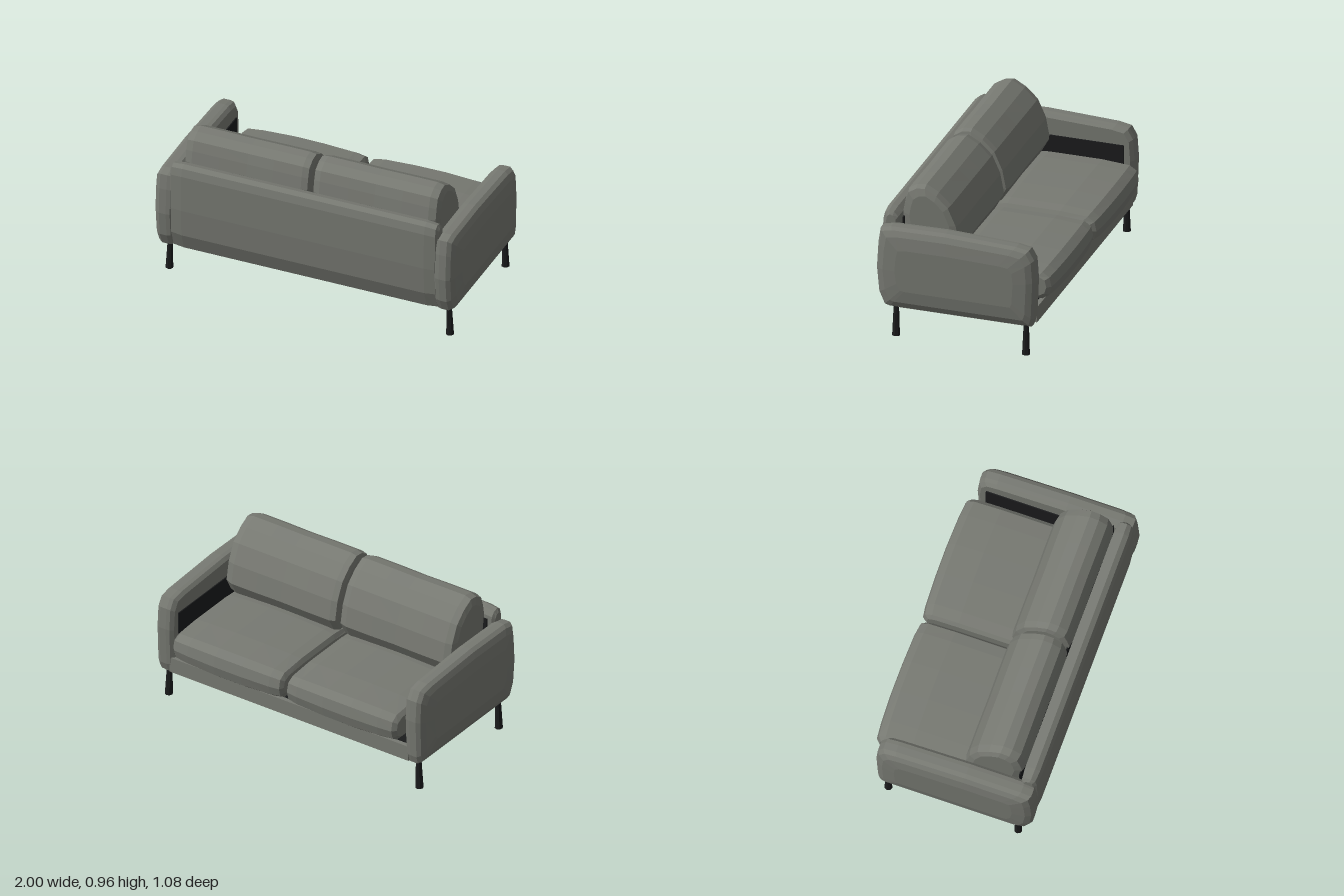
import * as THREE from 'three';

const fabric = new THREE.MeshStandardMaterial({ color: 0x777972, flatShading: true });
fabric.name = 'greyFabric';
const dark = new THREE.MeshStandardMaterial({ color: 0x1b1c1d, flatShading: true });
dark.name = 'blackTrim';

// Padded form: a closed [z, y] outline swept along x through [x, inset] stations.
// Outlines run front to back over the top, down the back and forward underneath.
function padded(outline, stations) {
  const zs = outline.map(p => p[0]), ys = outline.map(p => p[1]);
  const cz = (Math.min(...zs) + Math.max(...zs)) / 2, hz = Math.max(...zs) - cz;
  const cy = (Math.min(...ys) + Math.max(...ys)) / 2, hy = Math.max(...ys) - cy;
  const rings = stations.map(([x, inset]) => outline.map(([z, y]) =>
    [x, cy + (y - cy) * (1 - inset / hy), cz + (z - cz) * (1 - inset / hz)]));
  const n = outline.length, last = rings.length - 1, pos = [];
  const tri = (...pts) => pts.forEach(p => pos.push(...p));
  for (let j = 0; j < n; j++) {
    const k = (j + 1) % n;
    for (let i = 0; i < last; i++) {
      tri(rings[i][j], rings[i][k], rings[i + 1][k]);
      tri(rings[i][j], rings[i + 1][k], rings[i + 1][j]);
    }
    tri([stations[0][0], cy, cz], rings[0][k], rings[0][j]);
    tri([stations[last][0], cy, cz], rings[last][j], rings[last][k]);
  }
  const g = new THREE.BufferGeometry();
  g.setAttribute('position', new THREE.Float32BufferAttribute(pos, 3));
  g.computeVertexNormals();
  return g;
}

// Mirrors stations to the other side while keeping x ascending
const onSide = (stations, s) => s > 0 ? stations : stations.map(([x, i]) => [-x, i]).reverse();

const ARM = [[-0.475, 0.5], [-0.465, 0.64], [-0.43, 0.7], [-0.35, 0.715], [0.1, 0.735], [0.45, 0.73],
  [0.515, 0.715], [0.53, 0.62], [0.54, 0.45], [0.525, 0.29], [0.49, 0.21], [0.46, 0.2], [-0.45, 0.2], [-0.465, 0.25]];
const BACK = [[0.41, 0.6], [0.425, 0.77], [0.455, 0.8], [0.49, 0.807], [0.52, 0.79], [0.533, 0.74],
  [0.538, 0.5], [0.53, 0.32], [0.49, 0.21], [0.46, 0.2], [0.4, 0.2]];
const SEAT = [[-0.54, 0.41], [-0.527, 0.48], [-0.48, 0.515], [-0.3, 0.53], [0.05, 0.53], [0.36, 0.5],
  [0.4, 0.46], [0.4, 0.36], [0.35, 0.31], [-0.48, 0.31], [-0.525, 0.345]];
const PILLOW = [[0.04, 0.6], [0.065, 0.73], [0.12, 0.85], [0.2, 0.925], [0.28, 0.968], [0.34, 0.96],
  [0.395, 0.925], [0.415, 0.86], [0.43, 0.78], [0.4, 0.6], [0.33, 0.51], [0.09, 0.51]];

export function createModel() {
  const sofa = new THREE.Group();
  sofa.name = 'sofa';
  const add = (name, geometry, material, x = 0, y = 0, z = 0) => {
    const m = new THREE.Mesh(geometry, material);
    m.name = name;
    m.position.set(x, y, z);
    sofa.add(m);
    return m;
  };
  const box = (w, h, d) => new THREE.BoxGeometry(w, h, d);

  // Base, dark seat deck and underside panel
  add('base', box(1.76, 0.1, 0.9), fabric, 0, 0.25, -0.01);
  add('seatDeck', box(1.74, 0.008, 0.86), dark, 0, 0.302, 0);
  add('undersidePanel', box(1.86, 0.012, 0.88), fabric, 0, 0.196, 0);

  // Backrest with dark inner lining
  add('backrest', padded(BACK, [[-0.885, 0.03], [-0.87, 0.008], [-0.8, 0], [0.8, 0], [0.87, 0.008], [0.885, 0.03]]), fabric);
  add('backLining', box(1.7, 0.45, 0.008), dark, 0, 0.53, 0.407);

  for (const s of [1, -1]) {
    // Rounded arm and its dark inner lining
    add('arm', padded(ARM, onSide([[0.855, 0.025], [0.875, 0.004], [0.9, 0], [0.945, 0], [0.97, 0.015], [0.988, 0.05], [1, 0.13]], s)), fabric);
    add('armLining', box(0.008, 0.3, 0.82), dark, s * 0.852, 0.45, 0);

    // Seat and back cushions, bulging towards the middle
    add('seatCushion', padded(SEAT, onSide([[0.012, 0.045], [0.03, 0.018], [0.1, 0.008], [0.3, 0.001], [0.5, 0],
      [0.7, 0.007], [0.8, 0.016], [0.825, 0.04]], s)), fabric);
    add('backCushion', padded(PILLOW, onSide([[0.01, 0.05], [0.02, 0.012], [0.06, 0.004], [0.25, 0.004], [0.42, 0.006],
      [0.6, 0.004], [0.78, 0.004], [0.825, 0.016], [0.84, 0.06]], s)), fabric);

    // Legs, slightly flared at the foot
    for (const z of [0.425, -0.405]) {
      const leg = add('leg', new THREE.CylinderGeometry(0.017, 0.025, 0.2, 8), dark, s * 0.922, 0.101, z);
      leg.rotation.z = s * 0.03;
    }
  }
  return sofa;
}
